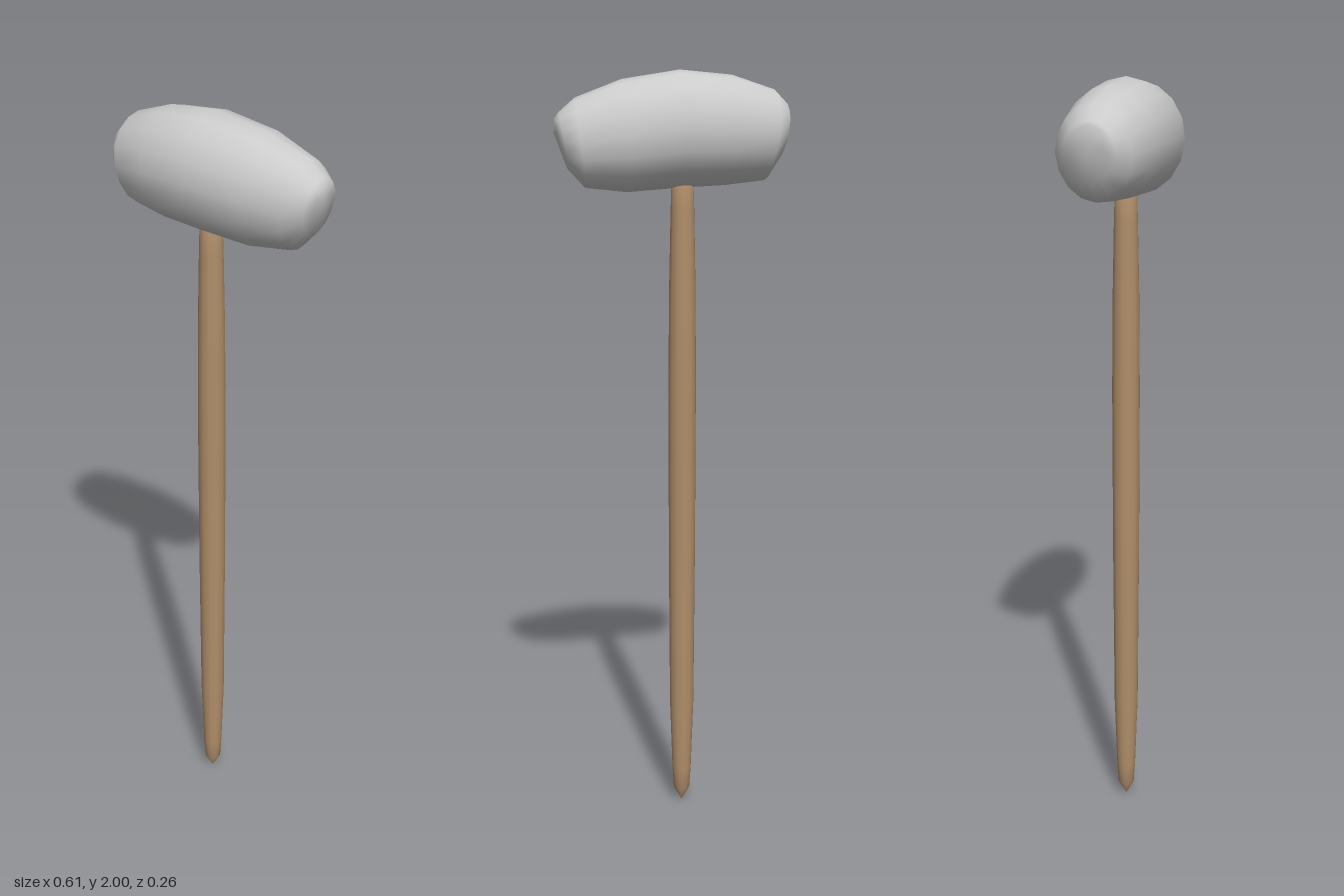
import * as THREE from 'three';

const SIDES = 16;

// Closed, smooth stone lofted from [x, bottom, top, back, front] sections
function loft(sections) {
  const pos = [], index = [];
  for (const [x, y0, y1, z0, z1] of sections) {
    for (let i = 0; i < SIDES; i++) {
      const a = (i / SIDES) * Math.PI * 2;
      const y = (y0 + y1) / 2 + Math.cos(a) * (y1 - y0) / 2;
      const z = (z0 + z1) / 2 + Math.sin(a) * (z1 - z0) / 2;
      // the ends lean inward below the middle
      const lean = 1 - 0.6 * Math.max(0, 1.87 - y);
      pos.push(x * lean, y, z);
    }
  }
  for (let s = 0; s < sections.length - 1; s++) {
    for (let i = 0; i < SIDES; i++) {
      const j = (i + 1) % SIDES;
      const a = s * SIDES + i, b = s * SIDES + j;
      const c = a + SIDES, d = b + SIDES;
      index.push(a, b, c, b, d, c);
    }
  }
  // end caps, fanned from a centre point
  const addCap = (s, bulge, flip) => {
    const [x, y0, y1, z0, z1] = sections[s];
    const centre = pos.length / 3;
    pos.push(x + bulge, (y0 + y1) / 2, (z0 + z1) / 2);
    for (let i = 0; i < SIDES; i++) {
      const a = s * SIDES + i, b = s * SIDES + (i + 1) % SIDES;
      index.push(centre, ...(flip ? [b, a] : [a, b]));
    }
  };
  addCap(0, -0.002, true);
  addCap(sections.length - 1, 0.002, false);

  const geo = new THREE.BufferGeometry();
  geo.setAttribute('position', new THREE.Float32BufferAttribute(pos, 3));
  geo.setIndex(index);
  geo.computeVertexNormals();
  return geo;
}

export function createModel() {
  const group = new THREE.Group();

  // Stone head: an uneven, rounded cobble lying across the handle
  const head = new THREE.Mesh(
    loft([
      [-0.302, 1.83, 1.91, -0.035, 0.035],
      [-0.296, 1.78, 1.92, -0.066, 0.063],
      [-0.265, 1.723, 1.952, -0.10, 0.091],
      [-0.155, 1.711, 1.988, -0.119, 0.119],
      [-0.02, 1.705, 2.0, -0.13, 0.127],
      [0.13, 1.695, 1.976, -0.129, 0.108],
      [0.25, 1.707, 1.93, -0.106, 0.07],
      [0.29, 1.755, 1.895, -0.078, 0.042],
      [0.301, 1.81, 1.88, -0.04, 0.02],
    ]),
    new THREE.MeshStandardMaterial({ color: 0xcccccc })
  );
  head.name = 'stoneHead';
  group.add(head);

  // Wooden handle: thickest in the middle, whittled to a point at the foot
  const profile = [
    [0, 0], [0.022, 0.04], [0.026, 0.1], [0.033, 0.3], [0.036, 0.75],
    [0.037, 1.2], [0.035, 1.45], [0.031, 1.65], [0.028, 1.74], [0, 1.76],
  ].map(([r, y]) => new THREE.Vector2(r, y));
  const handle = new THREE.Mesh(
    new THREE.LatheGeometry(profile, 12),
    new THREE.MeshStandardMaterial({ color: 0xb08f6a })
  );
  handle.name = 'woodenHandle';
  handle.position.x = -0.028;
  group.add(handle);

  return group;
}
